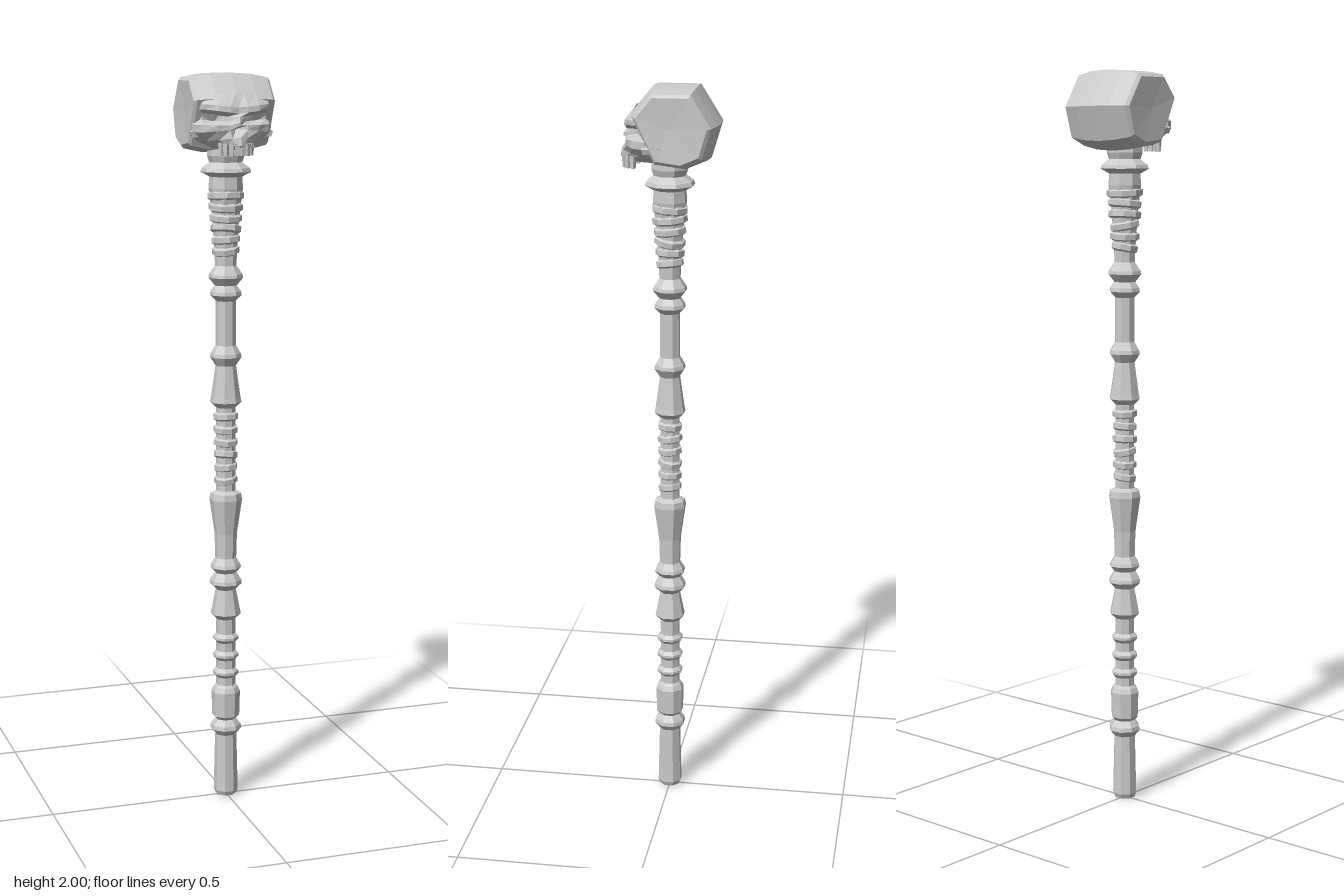
import * as THREE from 'three';

const material = new THREE.MeshStandardMaterial({ color: 0xcccccc, flatShading: true, side: THREE.DoubleSide });

function addMesh(parent, name, geometry) {
  const mesh = new THREE.Mesh(geometry, material);
  mesh.name = name;
  parent.add(mesh);
  return mesh;
}

// Turns rows of [x, y, z] points into a quad sheet
function sheet(rows) {
  const n = rows[0].length, index = [];
  for (let r = 0; r < rows.length - 1; r++) {
    for (let c = 0; c < n - 1; c++) {
      const a = r * n + c, b = a + n;
      index.push(a, b, a + 1, b, b + 1, a + 1);
    }
  }
  const g = new THREE.BufferGeometry();
  g.setAttribute('position', new THREE.Float32BufferAttribute(rows.flat(2), 3));
  g.setIndex(index);
  g.computeVertexNormals();
  return g;
}

// Faceted turning from [radius, y] points
function lathe(profile) {
  const g = new THREE.LatheGeometry(profile.map(([r, y]) => new THREE.Vector2(r, y)), 8);
  return g.rotateY(Math.PI / 8);
}

// Shaft with carved rings and flares
function buildShaft(shaft) {
  addMesh(shaft, 'lowerShaft', lathe([
    [0, 0], [0.028, 0.002], [0.034, 0.015], [0.03, 0.18], [0.044, 0.197], [0.042, 0.208],
    [0.029, 0.225], [0.038, 0.235], [0.04, 0.305], [0.034, 0.318], [0.027, 0.325]]));
  // Evenly spaced narrow rings below a flare
  const rings = [0.36, 0.41, 0.46].flatMap(y =>
    [[0.027, y - 0.013], [0.036, y - 0.003], [0.036, y + 0.004], [0.027, y + 0.013]]);
  addMesh(shaft, 'ringedShaft', lathe([[0.027, 0.325], ...rings,
    [0.027, 0.515], [0.042, 0.53], [0.028, 0.6], [0.045, 0.617], [0.043, 0.627],
    [0.03, 0.648], [0.043, 0.663], [0.04, 0.672], [0.029, 0.69]]));
  addMesh(shaft, 'middleShaft', lathe([
    [0.029, 0.69], [0.031, 0.76], [0.045, 0.855], [0.042, 0.872], [0.027, 0.88], [0.027, 1.11],
    [0.043, 1.125], [0.04, 1.14], [0.028, 1.225], [0.043, 1.248], [0.041, 1.258], [0.028, 1.28]]));
  addMesh(shaft, 'upperShaft', lathe([
    [0.028, 1.28], [0.027, 1.4], [0.043, 1.416], [0.041, 1.426], [0.03, 1.442], [0.047, 1.463],
    [0.045, 1.472], [0.029, 1.495], [0.03, 1.53], [0.038, 1.64], [0.046, 1.7], [0.044, 1.73],
    [0.068, 1.743], [0.064, 1.753], [0.044, 1.768], [0.05, 1.785], [0.046, 1.84]]));
}

// Tilted bands wound round the shaft
function buildBinding(shaft, name, from, to, r0, r1) {
  const binding = new THREE.Group();
  binding.name = name;
  for (let i = 0; i < 6; i++) {
    const t = i / 5, r = r0 + (r1 - r0) * t;
    const band = addMesh(binding, 'band', lathe([
      [r - 0.008, -0.012], [r, -0.007], [r, 0.007], [r - 0.008, 0.012]]));
    band.position.y = from + (to - from) * t;
    band.rotation.set(0.12 * Math.cos(i * 2.1), i * 0.35, 0.16 * Math.sin(i * 1.7 + 1));
  }
  shaft.add(binding);
}

// Braincase: one side outline repeated across x, narrowing to each temple
function buildCranium(skull) {
  const outline = [[2, 0.04], [2, -0.075], [1.905, -0.135], [1.815, -0.108], [1.79, -0.05],
    [1.8, 0.03], [1.86, 0.06], [1.935, 0.095], [2, 0.04]];
  const slices = [[-0.107, 0], [-0.111, 0.8], [-0.103, 0.88], [-0.055, 0.97], [0, 1],
    [0.055, 0.97], [0.103, 0.88], [0.111, 0.8], [0.107, 0]];
  addMesh(skull, 'cranium', sheet(slices.map(([x, s]) =>
    outline.map(([y, z]) => [x, 1.9 + (y - 1.9) * s, -0.015 + (z + 0.015) * s]))));
}

// Face: each row has a height, outward rise, half width and depths from midline to temple
function buildFace(skull) {
  const columns = [0, 0.22, 0.52, 0.82, 1];
  const bands = [
    [1.95, -0.012, 0.104, [0.086, 0.086, 0.083, 0.074, 0.03]],
    [1.912, 0.01, 0.108, [0.108, 0.112, 0.108, 0.09, 0.045]], // brow
    [1.896, 0.014, 0.108, [0.109, 0.114, 0.11, 0.088, 0.045]],
    [1.886, 0.012, 0.106, [0.114, 0.09, 0.062, 0.066, 0.04]], // eye sockets
    [1.874, 0.008, 0.106, [0.122, 0.092, 0.062, 0.066, 0.04]],
    [1.866, 0.002, 0.109, [0.121, 0.112, 0.106, 0.085, 0.05]],
    [1.857, -0.01, 0.109, [0.085, 0.112, 0.104, 0.086, 0.045]], // nose opening
    [1.836, -0.012, 0.092, [0.126, 0.118, 0.095, 0.068, 0.03]],
    [1.815, -0.004, 0.058, [0.13, 0.123, 0.1, 0.07, 0.03]], // jaw
    [1.805, 0, 0.046, [0.112, 0.104, 0.088, 0.06, 0.02]],
    [1.808, 0, 0.045, [0.02, 0.02, 0.02, 0.02, 0.02]]];
  addMesh(skull, 'face', sheet(bands.map(([y, rise, width, depths]) => {
    const left = columns.map((f, i) => [f * width, y + rise * f, depths[i]]);
    const right = left.slice(1).reverse().map(([x, h, z]) => [-x, h, z]);
    return [...right, ...left];
  })));

  // Cheek arches running back to the temples
  for (const side of [-1, 1]) {
    const arch = addMesh(skull, side > 0 ? 'leftCheekArch' : 'rightCheekArch',
      new THREE.CylinderGeometry(0.008, 0.012, 0.075, 5));
    arch.rotation.x = -Math.PI / 2 + 0.1;
    arch.position.set(side * 0.101, 1.849, 0.018);
  }

  // Upper teeth along the curved jaw
  const teeth = new THREE.Group();
  teeth.name = 'upperTeeth';
  for (let i = -3.5; i <= 3.5; i++) {
    const a = i * 0.34;
    const tooth = addMesh(teeth, 'tooth', new THREE.CylinderGeometry(0.0095, 0.007, 0.032, 4));
    tooth.position.set(0.044 * Math.sin(a), 1.805, 0.073 + 0.046 * Math.cos(a));
    tooth.rotation.y = a + Math.PI / 4;
  }
  skull.add(teeth);
}

export function createModel() {
  const model = new THREE.Group();
  model.name = 'skullStaff';

  const shaft = new THREE.Group();
  shaft.name = 'shaft';
  buildShaft(shaft);
  buildBinding(shaft, 'gripBinding', 0.91, 1.085, 0.032, 0.034);
  buildBinding(shaft, 'neckBinding', 1.535, 1.68, 0.037, 0.049);
  model.add(shaft);

  const skull = new THREE.Group();
  skull.name = 'skull';
  buildCranium(skull);
  buildFace(skull);
  model.add(skull);
  return model;
}
